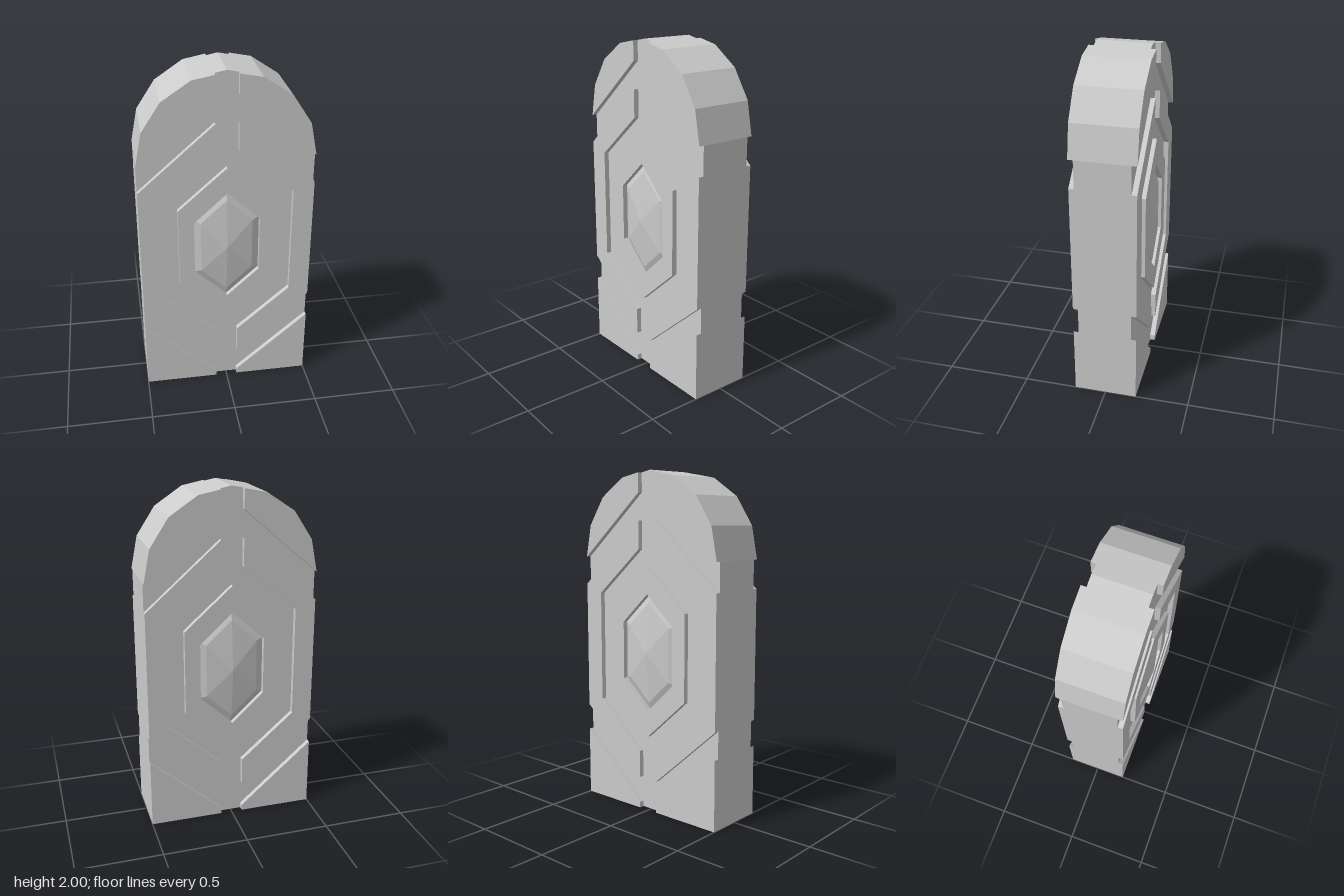
import * as THREE from 'three';

const FLOOR = 0.156, FACE = 0.186, TIP = 0.2025, MID_Y = 0.955;
const material = new THREE.MeshStandardMaterial({ color: 0xcccccc, flatShading: true });

const shapeOf = (pts) => new THREE.Shape(pts.map(([x, y]) => new THREE.Vector2(x, y)));
const mirrored = (pts, s) => pts.map(([x, y]) => [x * s, y]);

// Upright hexagon: apex half-height, half-width, and half-height of its straight sides
const hexagon = (w, top, side) => [
  [0, MID_Y + top], [-w, MID_Y + side], [-w, MID_Y - side],
  [0, MID_Y - top], [w, MID_Y - side], [w, MID_Y + side],
];

function slab(name, shape, z0, z1) {
  const geo = new THREE.ExtrudeGeometry(shape, { depth: z1 - z0, bevelEnabled: false });
  geo.translate(0, 0, z0);
  const mesh = new THREE.Mesh(geo, material);
  mesh.name = name;
  return mesh;
}

// Faceted stone: steep bevel rising from the pit floor, then a shallow pyramid
function gem() {
  const base = hexagon(0.19, 0.345, 0.17).map(([x, y]) => [x, y, FLOOR]);
  const girdle = hexagon(0.15, 0.295, 0.157).map(([x, y]) => [x, y, 0.174]);
  const tip = [0, MID_Y, TIP];
  const v = [];
  for (let i = 0; i < 6; i++) {
    const j = (i + 1) % 6;
    v.push(...base[i], ...base[j], ...girdle[j]);
    v.push(...base[i], ...girdle[j], ...girdle[i]);
    v.push(...girdle[i], ...girdle[j], ...tip);
  }
  const geo = new THREE.BufferGeometry();
  geo.setAttribute('position', new THREE.Float32BufferAttribute(v, 3));
  geo.computeVertexNormals();
  const mesh = new THREE.Mesh(geo, material);
  mesh.name = 'gem';
  return mesh;
}

// Right half of the arch, from the spring line to the crown
const arch = [[0.5, 1.5], [0.462, 1.69], [0.354, 1.854], [0.192, 1.962]];

// Raised plates on one half of a face
const plates = {
  upperPlate: [...arch, [0.065, 1.987], [0.065, 1.875]],
  sidePlate: [
    [0.5, 1.335], [0.065, 1.717], [0.065, 1.555], [0.38, 1.285],
    [0.38, 0.628], [0.065, 0.355], [0.065, 0.192], [0.5, 0.574],
  ],
  lowerPlate: [[0.5, 0.414], [0.065, 0.035], [0.065, 0], [0.5, 0]],
};

function decoratedFace(name) {
  const face = new THREE.Group();
  face.name = name;
  for (const s of [1, -1]) {
    for (const [part, pts] of Object.entries(plates)) {
      face.add(slab((s > 0 ? 'left ' : 'right ') + part, shapeOf(mirrored(pts, s)), FLOOR, FACE));
    }
  }
  // Hexagonal frame around the gem pit
  const frame = shapeOf(hexagon(0.28, 0.5, 0.253));
  frame.holes.push(new THREE.Path(shapeOf(hexagon(0.19, 0.345, 0.17)).getPoints()));
  face.add(slab('gemFrame', frame, FLOOR, FACE), gem());
  return face;
}

export function createModel() {
  const model = new THREE.Group();
  model.name = 'archedTablet';

  // Core slab whose faces form the groove floors
  const outline = [[0.5, 0], ...arch, [0, 2], ...mirrored(arch, -1).reverse(), [-0.5, 0]];
  model.add(slab('core', shapeOf(outline), -FLOOR, FLOOR));

  // The same relief on both sides
  const front = decoratedFace('frontFace');
  const back = decoratedFace('backFace');
  back.rotation.y = Math.PI;
  model.add(front, back);
  return model;
}
